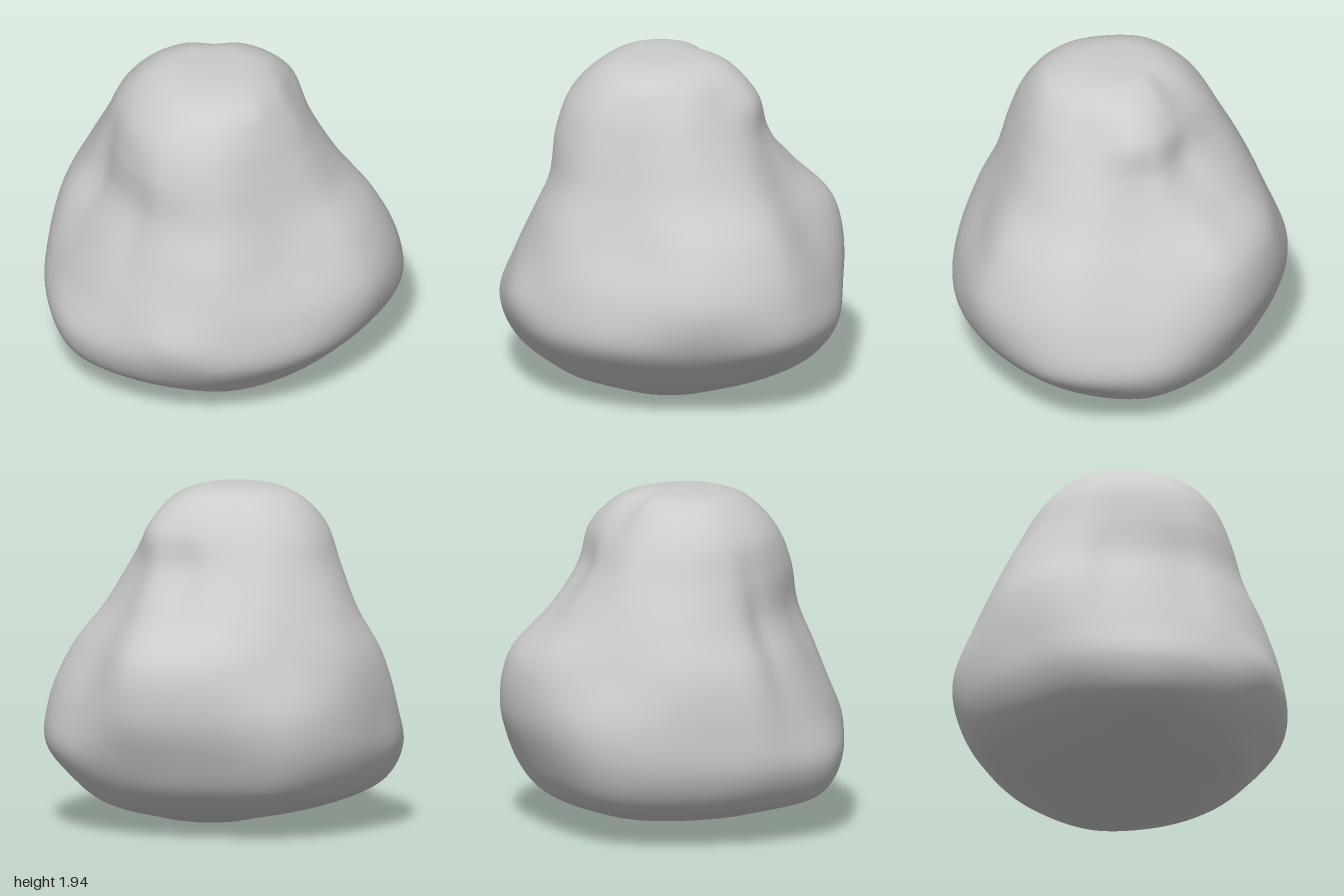
import * as THREE from 'three';

// Contours of the boulder: height, then radii every 30 degrees from +x toward +z
const contours = [
  [0.05, [.40, .45, .50, .50, .40, .27, .20, .20, .20, .22, .25, .32]],
  [0.14, [.72, .70, .68, .68, .70, .66, .63, .60, .58, .60, .58, .64]],
  [0.25, [.88, .85, .81, .79, .82, .86, .92, .84, .80, .82, .76, .80]],
  [0.45, [1.0, 1.05, .97, .94, .95, .96, 1.0, .96, .91, .93, .87, .91]],
  [0.70, [.95, 1.04, 1.02, .92, .93, .92, .91, .95, .92, .95, .94, .98]],
  [1.00, [.80, .91, .90, .78, .84, .81, .78, .87, .87, .84, .90, .93]],
  [1.25, [.65, .72, .72, .68, .73, .71, .66, .73, .76, .73, .72, .71]],
  [1.50, [.54, .57, .60, .60, .66, .67, .62, .63, .63, .60, .53, .52]],
  [1.70, [.50, .46, .50, .53, .58, .59, .56, .55, .53, .48, .42, .45]],
  [1.85, [.36, .35, .38, .44, .46, .45, .42, .42, .39, .34, .28, .33]],
];

// Grooves and bulges: angle, height, angular spread, vertical spread, depth
const dents = [
  [160, 1.10, 10, .35, -.022],
  [197, 1.15, 10, .40, -.038],
  [322, 1.48, 13, .17, -.030],
  [316, 1.22, 12, .16, -.018],
  [345, 1.50, 10, .25, .018],
  [135, 0.60, 13, .14, .035],
  [225, 0.55, 12, .30, -.015],
];

function dentAt(angle, y) {
  let sum = 0;
  for (const [a, h, da, dh, depth] of dents) {
    const turn = ((angle - a + 540) % 360) - 180;
    sum += depth * Math.exp(-((turn / da) ** 2) - ((y - h) / dh) ** 2);
  }
  return sum;
}

// A point part of the way from a contour to a pole, at a given height
function toward(point, pole, amount, y) {
  return point.clone().lerp(pole, amount).setY(y);
}

function boulderGeometry(around = 144, up = 104) {
  // Smooth closed curve through each contour
  const rings = contours.map(([y, radii]) => new THREE.CatmullRomCurve3(
    radii.map((r, i) => {
      const a = (i * Math.PI) / 6;
      return new THREE.Vector3(r * Math.cos(a), y, r * Math.sin(a));
    }), true));
  const bottom = new THREE.Vector3(0.06, 0.002, 0.16);
  const top = new THREE.Vector3(-0.04, 1.94, 0);

  // Columns from the bottom to the top, rounded off near both ends
  const columns = [];
  for (let i = 0; i < around; i++) {
    const points = rings.map((ring) => ring.getPoint(i / around));
    columns.push(new THREE.CatmullRomCurve3([
      bottom, toward(points[0], bottom, 0.5, 0.012),
      ...points,
      toward(points[points.length - 1], top, 0.38, 1.92), top]));
  }

  const positions = [...bottom.toArray()];
  for (let j = 1; j < up; j++) {
    for (const column of columns) {
      const p = column.getPoint(j / up);
      const angle = (Math.atan2(p.z, p.x) * 180) / Math.PI + 360;
      const r = Math.hypot(p.x, p.z);
      const k = 1 + dentAt(angle % 360, p.y) / Math.max(r, 0.3);
      positions.push(p.x * k, Math.max(p.y, 0), p.z * k);
    }
  }
  positions.push(...top.toArray());

  // Skin between rings, closed by a fan at each end
  const index = [];
  const at = (j, i) => 1 + (j - 1) * around + (i % around);
  const last = 1 + (up - 1) * around;
  for (let i = 0; i < around; i++) {
    index.push(0, at(1, i), at(1, i + 1));
    for (let j = 1; j < up - 1; j++) {
      const a = at(j, i), b = at(j, i + 1), c = at(j + 1, i), d = at(j + 1, i + 1);
      index.push(a, c, b, b, c, d);
    }
    index.push(at(up - 1, i), last, at(up - 1, i + 1));
  }

  const geometry = new THREE.BufferGeometry();
  geometry.setAttribute('position', new THREE.Float32BufferAttribute(positions, 3));
  geometry.setIndex(index);
  geometry.computeVertexNormals();
  return geometry;
}

export function createModel() {
  const group = new THREE.Group();
  group.name = 'rock';
  const boulder = new THREE.Mesh(
    boulderGeometry(),
    new THREE.MeshStandardMaterial({ color: 0xcccccc }));
  boulder.name = 'boulder';
  group.add(boulder);
  return group;
}
